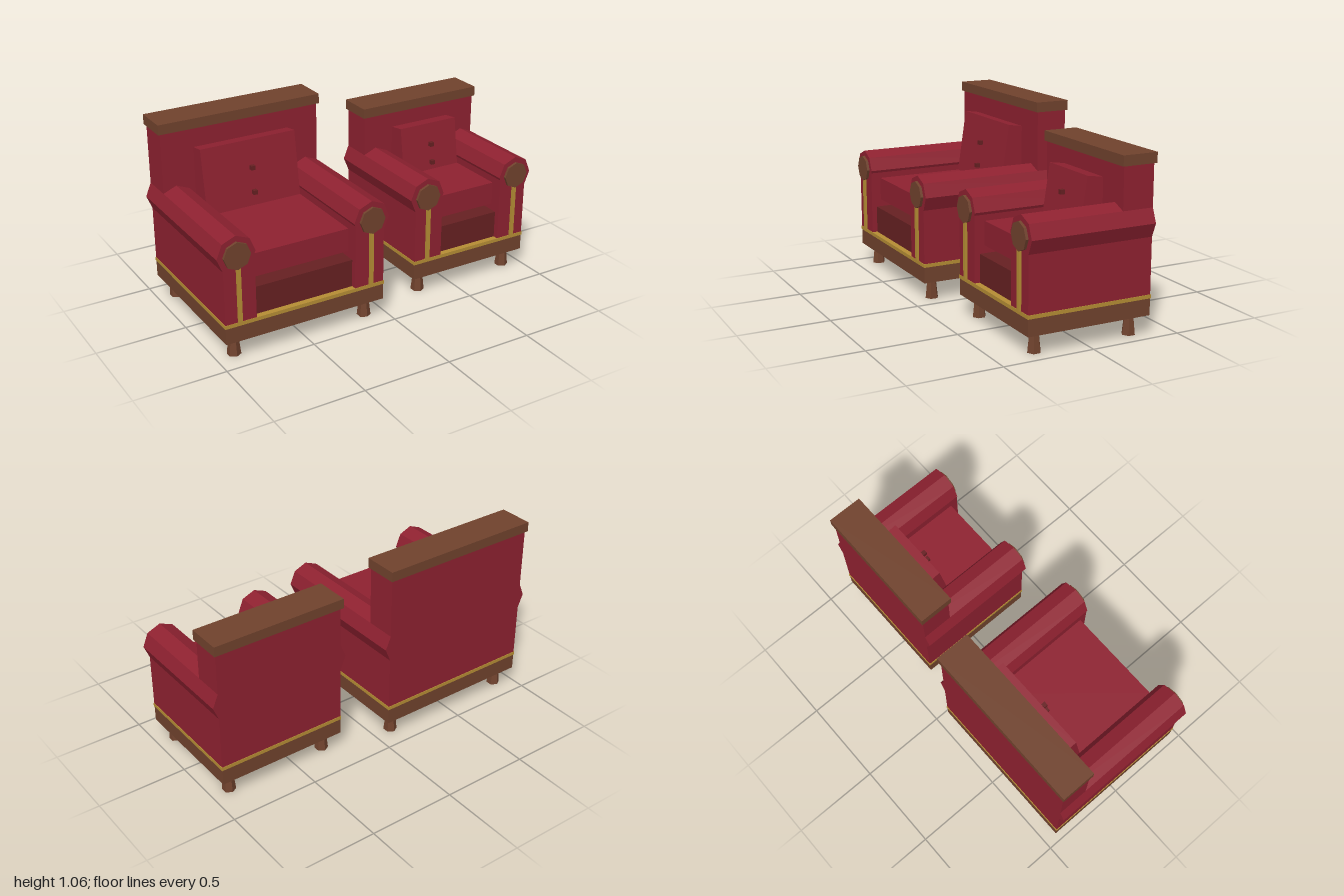
import * as THREE from 'three';

const mat = (name, color) => {
  const m = new THREE.MeshStandardMaterial({ color, flatShading: true });
  m.name = name;
  return m;
};

export function createModel() {
  const red = mat('red upholstery', 0x8e2130);
  const maroon = mat('dark maroon', 0x662022);
  const wood = mat('brown wood', 0x70422d);
  const gold = mat('gold trim', 0xb58d34);

  const mesh = (parent, name, geometry, material) => {
    const m = new THREE.Mesh(geometry, material);
    m.name = name;
    parent.add(m);
    return m;
  };
  // Box given by its limits on each axis
  const box = (parent, name, material, x0, x1, y0, y1, z0, z1) => {
    const m = mesh(parent, name, new THREE.BoxGeometry(x1 - x0, y1 - y0, z1 - z0), material);
    m.position.set((x0 + x1) / 2, (y0 + y1) / 2, (z0 + z1) / 2);
    return m;
  };
  // Octagonal bar along z with a corner pointing up
  const octagonBar = (parent, name, material, r, x, y, z0, z1) => {
    const m = mesh(parent, name, new THREE.CylinderGeometry(r, r, z1 - z0, 8).rotateX(Math.PI / 2), material);
    m.position.set(x, y, (z0 + z1) / 2);
  };

  // w, d: half width and half depth; top: height of the back panel
  function armchair(name, { w, d, top, cushionTop, cushionZ, buttons }) {
    const g = new THREE.Group();
    g.name = name;
    const inner = w - 0.175;
    const rollX = w - 0.075;
    const backFront = -d + 0.175;

    // Base frame and gold band
    box(g, 'baseFrame', wood, -w, w, 0.11, 0.2, -d, d);
    box(g, 'goldBand', gold, -w - 0.003, w + 0.003, 0.2, 0.22, -d - 0.003, d + 0.003);

    // Backrest with wooden cap
    box(g, 'backrest', red, -w, w, 0.22, top, -d, backFront);
    box(g, 'backrestCap', wood, -w - 0.011, w + 0.011, top, top + 0.055, -d - 0.011, backFront + 0.011);

    // Seat platform and cushion
    box(g, 'seatPlatform', maroon, -inner, inner, 0.22, 0.375, backFront, d - 0.03);
    box(g, 'seatCushion', red, -inner + 0.01, inner - 0.01, 0.42, 0.55, backFront, d - 0.053);

    // Leaning back cushion, hung from its top front edge
    const tilt = 0.15;
    const h = (cushionTop - 0.5) / Math.cos(tilt);
    const cw = 2 * (inner - 0.01);
    const back = mesh(g, 'backCushion', new THREE.BoxGeometry(cw, h, 0.12).translate(0, -h / 2, -0.06), red);
    back.position.set(0, cushionTop, cushionZ);
    back.rotation.x = -tilt;
    for (const y of buttons) {
      const b = mesh(g, 'button', new THREE.BoxGeometry(0.024, 0.024, 0.024), maroon);
      b.position.set(0, y, cushionZ + (cushionTop - y) * Math.tan(tilt) + 0.02);
    }

    for (const s of [-1, 1]) {
      // Arm panel, rolled top, front disc and gold strip
      const arm = new THREE.Group();
      arm.name = s > 0 ? 'leftArm' : 'rightArm';
      g.add(arm);
      const mid = s * (w - 0.0875);
      box(arm, 'armPanel', red, mid - 0.0875, mid + 0.0875, 0.22, 0.59, -d, d);
      octagonBar(arm, 'armRoll', red, 0.106, s * rollX, 0.595, -d, d);
      octagonBar(arm, 'armDisc', wood, 0.075, s * rollX, 0.595, d, d + 0.015);
      const sx = s * (w - 0.08);
      box(arm, 'armStrip', gold, sx - 0.011, sx + 0.011, 0.22, 0.53, d, d + 0.014);

      // Flared six-sided legs
      for (const t of [-1, 1]) {
        const leg = mesh(g, t > 0 ? 'frontLeg' : 'backLeg', new THREE.CylinderGeometry(0.025, 0.0375, 0.11, 6), wood);
        leg.position.set(s * rollX, 0.055, t * (d - 0.075));
      }
    }
    return g;
  }

  const model = new THREE.Group();
  model.name = 'armchairPair';
  const large = armchair('largeArmchair', {
    w: 0.465, d: 0.439, top: 1.005, cushionTop: 0.91, cushionZ: -0.182, buttons: [0.765, 0.63],
  });
  large.position.x = -0.504;
  const small = armchair('smallArmchair', {
    w: 0.372, d: 0.35, top: 0.895, cushionTop: 0.82, cushionZ: -0.085, buttons: [0.705, 0.6],
  });
  small.position.x = 0.594;
  model.add(large, small);
  return model;
}
